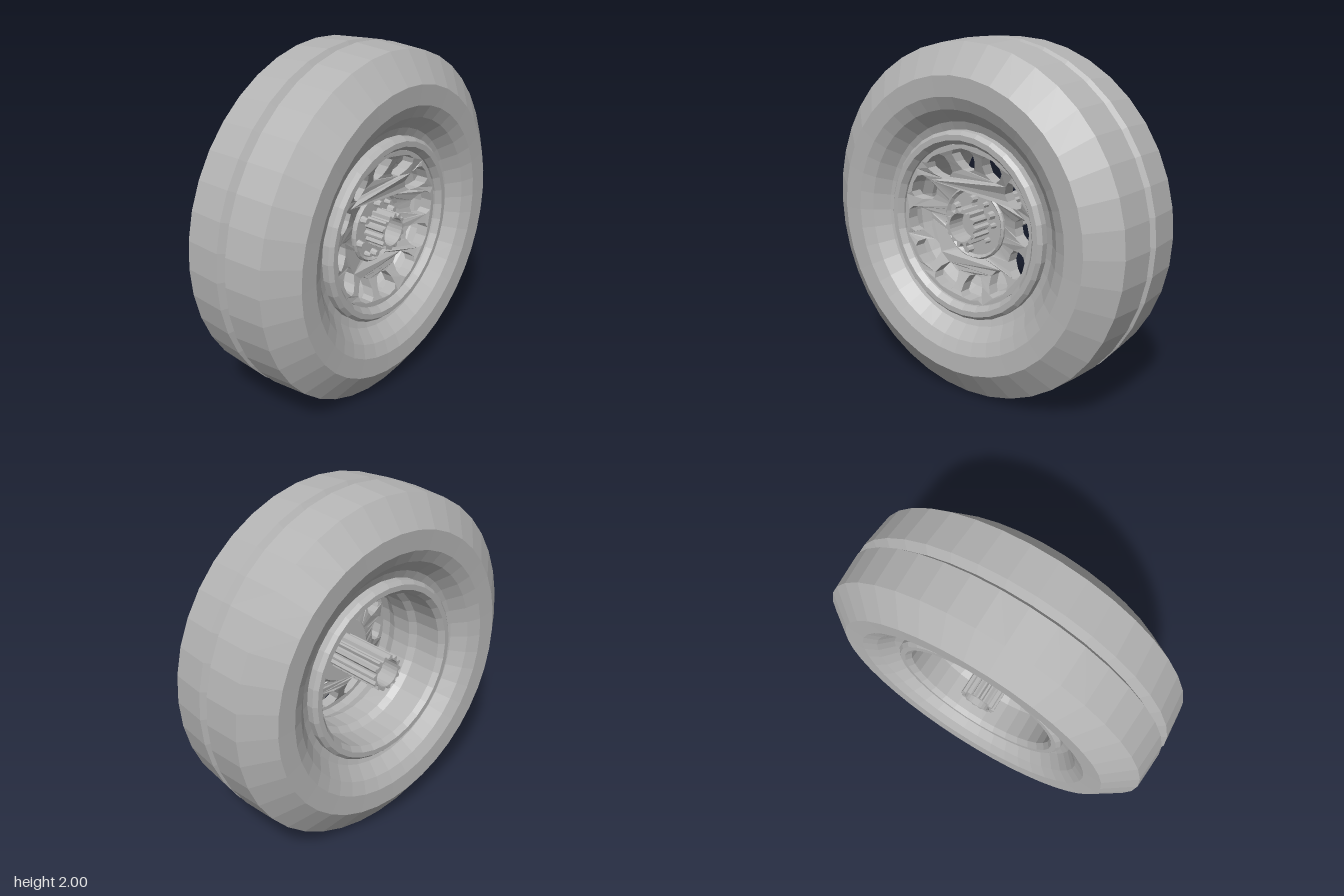
import * as THREE from 'three';

export function createModel() {
  const model = new THREE.Group();
  const wheel = new THREE.Group();
  wheel.name = 'wheel';
  wheel.position.y = 1;
  model.add(wheel);

  const grey = new THREE.MeshStandardMaterial({ color: 0xb4b4b4, flatShading: true });
  grey.name = 'grey';

  const add = (name, geometry) => {
    const mesh = new THREE.Mesh(geometry, grey);
    mesh.name = name;
    wheel.add(mesh);
    return mesh;
  };
  // Revolves [radius, z] pairs around the wheel axle
  const revolve = (name, profile, sides) =>
    add(name, new THREE.LatheGeometry(profile.map(([r, z]) => new THREE.Vector2(r, z)), sides).rotateX(Math.PI / 2));

  // Tyre: half a profile from the centre groove to the bead, mirrored to the back
  const half = [[1, 0.03], [0.985, 0.245], [0.82, 0.36], [0.71, 0.355], [0.64, 0.32], [0.57, 0.25], [0.5, 0.22]];
  const back = half.map(([r, z]) => [r, -z]).reverse();
  revolve('tyre', [...back, [0.95, 0], ...half], 40);

  // Rim: two lips joined by a stepped barrel
  revolve('rim', [
    [0.525, 0.2], [0.525, 0.27], [0.505, 0.29], [0.475, 0.29], [0.45, 0.26], [0.445, 0.12], [0.42, 0.06],
    [0.42, -0.06], [0.445, -0.1], [0.45, -0.26], [0.475, -0.29], [0.505, -0.29], [0.525, -0.27], [0.525, -0.2],
  ], 32);

  // Spoke disc: twelve rounded holes, dished towards the hub
  const disc = new THREE.Shape().absarc(0, 0, 0.447, 0, Math.PI * 2);
  disc.holes.push(new THREE.Path().absarc(0, 0, 0.17, 0, Math.PI * 2, true));
  const outline = [[0.29, 0], [0.3, 0.04], [0.345, 0.066], [0.39, 0.074], [0.415, 0.055], [0.425, 0]];
  const loop = [...outline, ...outline.slice(1, -1).reverse().map(([r, t]) => [r, -t])];
  for (let i = 0; i < 12; i++) {
    const a = (i / 12) * Math.PI * 2 + 0.07;
    disc.holes.push(new THREE.Path(loop.map(([r, t]) => new THREE.Vector2(
      r * Math.cos(a) - t * Math.sin(a), r * Math.sin(a) + t * Math.cos(a)))));
  }
  const spokes = new THREE.ExtrudeGeometry(disc, { depth: 0.07, bevelEnabled: false, curveSegments: 24 });
  const p = spokes.attributes.position;
  for (let i = 0; i < p.count; i++) {
    const r = Math.hypot(p.getX(i), p.getY(i));
    p.setZ(i, p.getZ(i) + 0.08 + 0.1 * THREE.MathUtils.clamp((r - 0.2) / 0.22, 0, 1));
  }
  spokes.computeVertexNormals();
  add('spokeDisc', spokes);

  // Hub plate with a raised edge
  revolve('hubPlate', [[0, 0.07], [0.19, 0.07], [0.205, 0.09], [0.205, 0.175], [0.195, 0.185], [0.18, 0.17], [0, 0.17]], 28);

  // Splined hollow hub sleeve running through the wheel
  const teeth = 14;
  const star = [];
  for (let i = 0; i < teeth * 4; i++) {
    const r = i % 4 < 2 ? 0.105 : 0.088;
    const a = (i / (teeth * 4)) * Math.PI * 2;
    star.push(new THREE.Vector2(r * Math.cos(a), r * Math.sin(a)));
  }
  const sleeve = new THREE.Shape(star);
  sleeve.holes.push(new THREE.Path().absarc(0, 0, 0.08, 0, Math.PI * 2, true));
  add('hubSleeve', new THREE.ExtrudeGeometry(sleeve, { depth: 0.58, bevelEnabled: false, curveSegments: 12 }).translate(0, 0, -0.29));
  add('axleCore', new THREE.CylinderGeometry(0.082, 0.082, 0.36, 20).rotateX(Math.PI / 2));

  // Large and small bolts on the hub plate: [x, y, radius]
  const bolts = [
    [0, 0.14, 0.025], [-0.12, 0.08, 0.025], [-0.155, -0.05, 0.025], [-0.03, -0.15, 0.025], [0.12, 0.065, 0.025],
    [0.085, 0.12, 0.017], [0.135, 0.01, 0.017], [0.095, -0.08, 0.017], [-0.09, -0.135, 0.017],
  ];
  for (const [x, y, r] of bolts) {
    add('bolt', new THREE.CylinderGeometry(r * 0.7, r, 0.04, 8).rotateX(Math.PI / 2)).position.set(x, y, 0.187);
  }

  return model;
}
